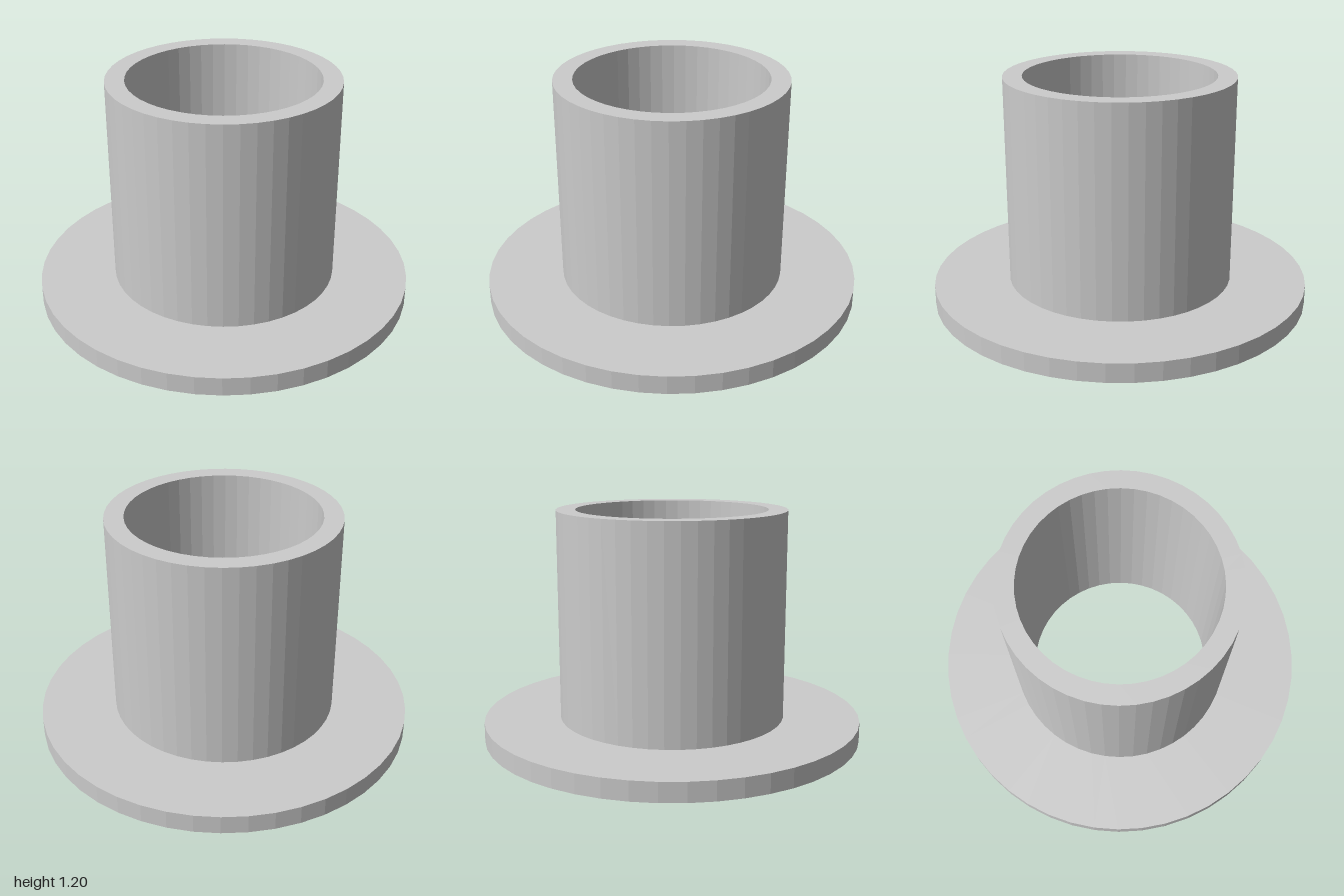
import * as THREE from 'three';

const SEGMENTS = 48;

export function createModel() {
  const group = new THREE.Group();
  group.name = 'flangedBushing';

  // Closed wall section: underside, flange rim, flange top, sleeve, top lip, bore
  const section = [
    [0.5, 0], [1, 0], [1, 0.1], [0.6, 0.1], [0.6, 1.2], [0.5, 1.2], [0.5, 0],
  ].map(([r, y]) => new THREE.Vector2(r, y));

  // Faceted all round, with hard edges between the faces
  const geometry = new THREE.LatheGeometry(section, SEGMENTS).toNonIndexed();
  geometry.computeVertexNormals();

  const material = new THREE.MeshStandardMaterial({ color: 0xcccccc, flatShading: true });
  const bushing = new THREE.Mesh(geometry, material);
  bushing.name = 'sleeveWithFlange';
  group.add(bushing);

  return group;
}
